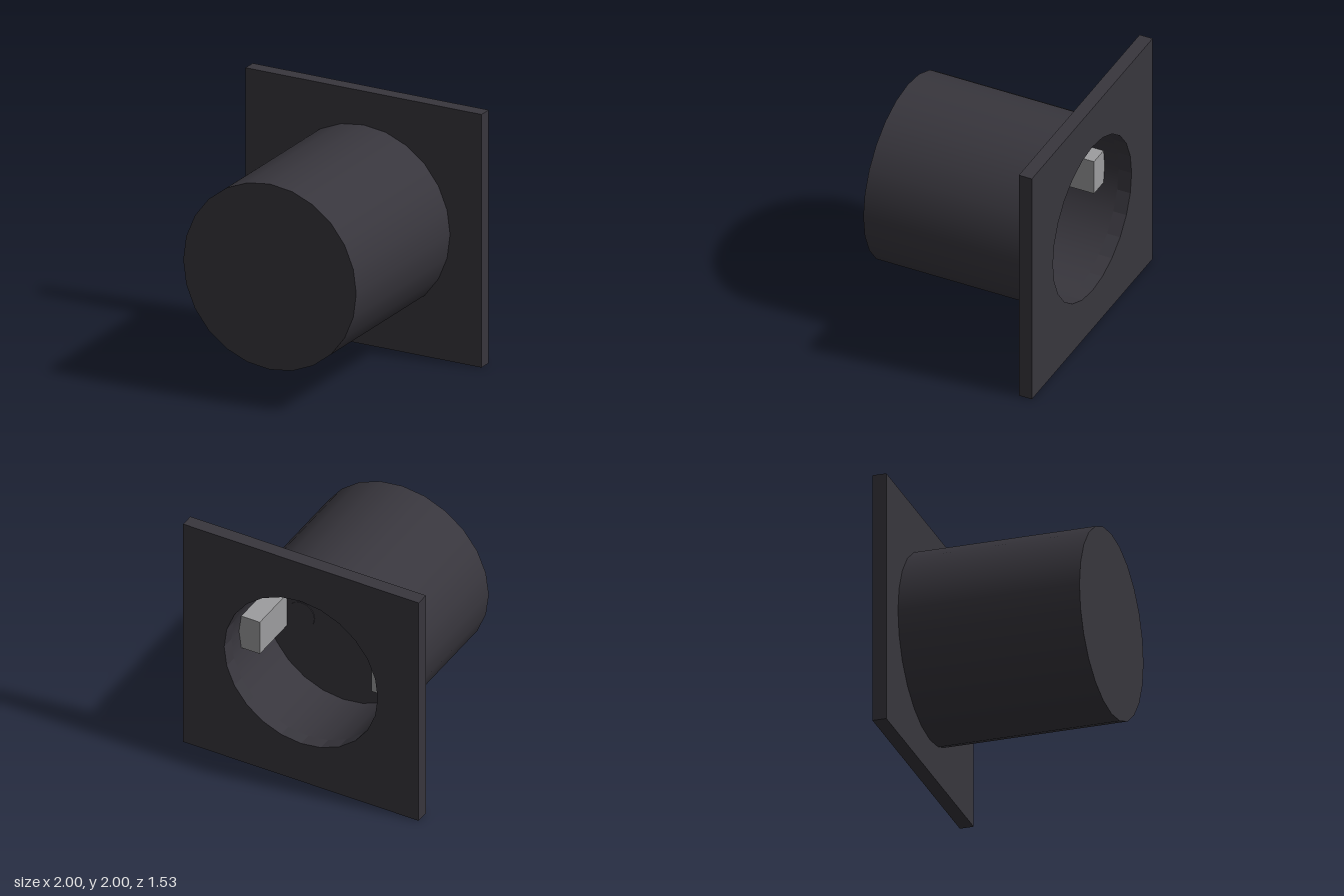
import * as THREE from 'three';

const SIDES = 24;
const OUTER = 0.733, INNER = 0.652;
const BACK = -0.763, PLATE_FRONT = -0.655, FLOOR = -0.13, FRONT = 0.763;

export function createModel() {
  const group = new THREE.Group();
  group.name = 'flangedSocket';

  const dark = new THREE.MeshStandardMaterial({ color: 0x38363d });
  dark.name = 'charcoal';
  const grey = new THREE.MeshStandardMaterial({ color: 0x9d9d9f });
  grey.name = 'contact grey';

  const add = (name, geometry, material, x = 0, y = 1, z = 0) => {
    const mesh = new THREE.Mesh(geometry, material);
    mesh.name = name;
    mesh.position.set(x, y, z);
    group.add(mesh);
    return mesh;
  };

  // Straight tube along z; running from high z to low z makes it face inward
  const tube = (radius, z0, z1) => new THREE.LatheGeometry(
    [new THREE.Vector2(radius, z0), new THREE.Vector2(radius, z1)], SIDES).rotateX(Math.PI / 2);

  // Square flange with a round opening
  const square = new THREE.Shape([
    new THREE.Vector2(-1, -1), new THREE.Vector2(1, -1),
    new THREE.Vector2(1, 1), new THREE.Vector2(-1, 1),
  ]);
  const ring = [];
  for (let i = 0; i < SIDES; i++) {
    const a = -i / SIDES * Math.PI * 2;
    ring.push(new THREE.Vector2(INNER * Math.cos(a), INNER * Math.sin(a)));
  }
  square.holes.push(new THREE.Path(ring));
  add('flangePlate', new THREE.ExtrudeGeometry(square,
    { depth: PLATE_FRONT - BACK, bevelEnabled: false }), dark, 0, 1, BACK);

  // Barrel: outer wall and closed front end
  add('barrelWall', tube(OUTER, PLATE_FRONT, FRONT), dark);
  add('barrelFront', new THREE.CircleGeometry(OUTER, SIDES), dark, 0, 1, FRONT);

  // Cavity open to the back
  add('cavityWall', tube(INNER, FLOOR, PLATE_FRONT), dark);
  add('cavityFloor', new THREE.CircleGeometry(INNER, SIDES).rotateY(Math.PI), dark, 0, 1, FLOOR);

  // Contact lugs on the cavity sides, each with a shallow round boss on the floor
  for (const side of [1, -1]) {
    add(side > 0 ? 'leftLug' : 'rightLug',
      new THREE.BoxGeometry(0.2, 0.29, 0.41), grey, side * 0.575, 1, -0.335);
    add(side > 0 ? 'leftBoss' : 'rightBoss',
      new THREE.CylinderGeometry(0.11, 0.11, 0.008, SIDES).rotateX(Math.PI / 2),
      dark, side * 0.35, 1, FLOOR - 0.002);
  }
  return group;
}
